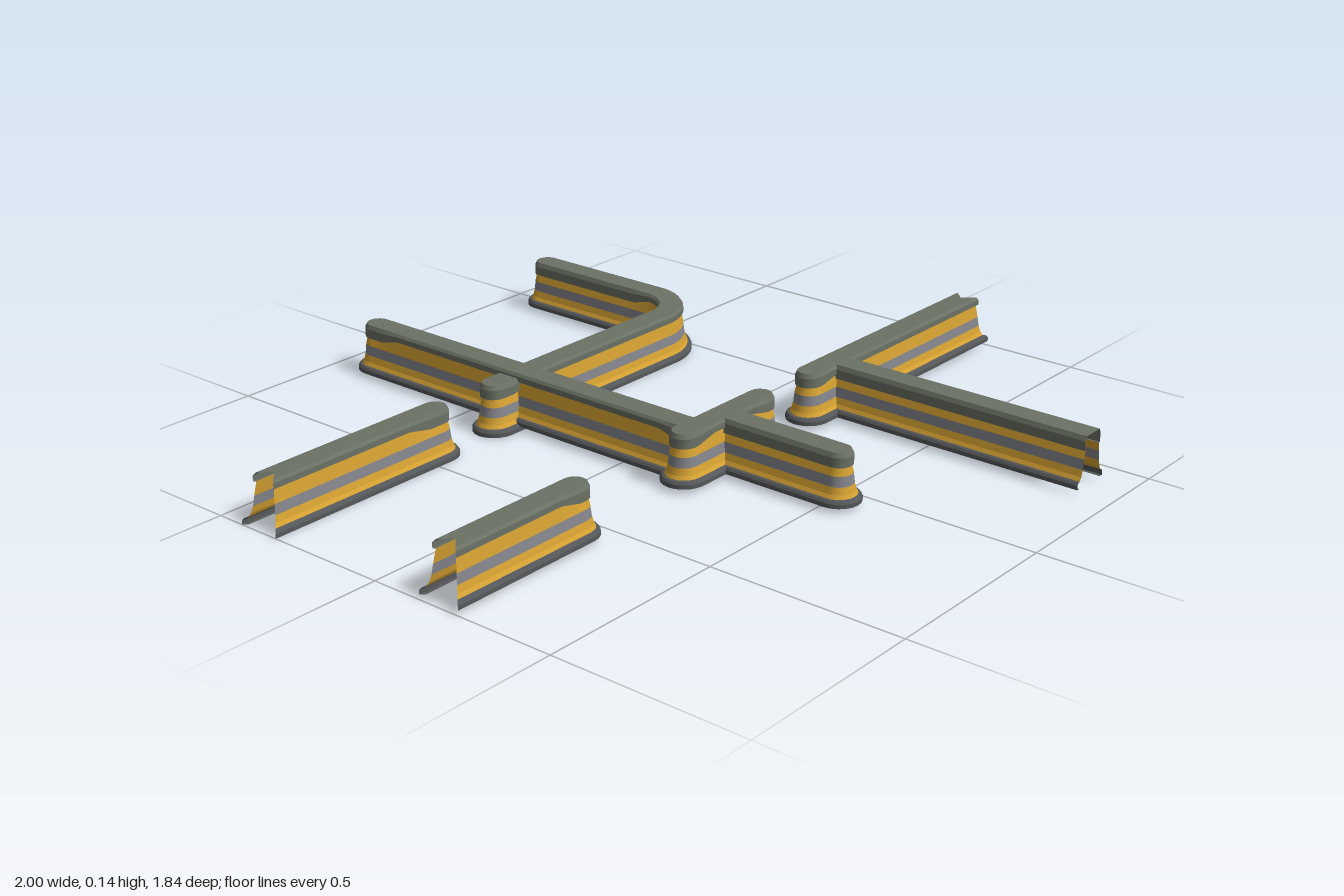
import * as THREE from 'three';
import { mergeGeometries } from 'three/addons/utils/BufferGeometryUtils.js';

const R = 0.056; // half width of the base flange
const DROP = 0.014; // how far the cap skirt hangs lower near wall ends

// Colour bands of the half profile: [half width, height, skirt drop factor]
const BANDS = [
  ['baseFlange', 0x55585a, [[0.046, 0, 0], [R, 0, 0], [R, 0.01, 0], [0.052, 0.016, 0], [0.046, 0.018, 0]]],
  ['lowerStripe', 0xd6a232, [[0.046, 0.018, 0], [0.041, 0.027, 0], [0.037, 0.044, 0]]],
  ['middleStripe', 0x85868c, [[0.037, 0.044, 0], [0.034, 0.069, 0]]],
  ['upperStripe', 0xd6a232, [[0.034, 0.069, 0], [0.029, 0.104, 1]]],
  ['topCap', 0x6b7265, [[0.029, 0.104, 1], [0.034, 0.104, 1], [0.034, 0.118, 0.3], [0.029, 0.125, 0], [0, 0.125, 0]]],
];

// Outline stations around a path: centre, outward direction and skirt drop.
// Path points are [x, z, drop, y]; an end is round, mitre or flat.
function outline(path, startEnd, finishEnd) {
  const last = path.length - 1;
  const frames = path.map(([x, z, drop, y], i) => {
    const a = path[Math.max(i - 1, 0)], b = path[Math.min(i + 1, last)];
    const ua = new THREE.Vector2(x - a[0], z - a[1]).normalize();
    const ub = new THREE.Vector2(b[0] - x, b[1] - z).normalize();
    const t = ua.add(ub).normalize();
    return { x, y, z, drop, tx: t.x, tz: t.y };
  });
  const stations = [];
  const add = (f, side, along) => stations.push({
    x: f.x, y: f.y, z: f.z, drop: f.drop,
    dx: -f.tz * side + f.tx * along, dz: f.tx * side + f.tz * along,
  });
  const addEnd = (f, kind, sign) => {
    if (kind === 'round') {
      for (let k = 1; k < 10; k++) {
        const a = k * Math.PI / 10;
        add(f, sign * Math.cos(a), sign * Math.sin(a));
      }
    }
  };
  const along = (i) => (i === 0 && startEnd === 'mitre' ? -1 : i === last && finishEnd === 'mitre' ? 1 : 0);
  frames.forEach((f, i) => add(f, 1, along(i)));
  addEnd(frames[last], finishEnd, 1);
  const split = finishEnd === 'round' ? -1 : stations.length - 1; // gap at an open end
  for (let i = last; i >= 0; i--) add(frames[i], -1, along(i));
  addEnd(frames[0], startEnd, -1);
  if (startEnd === 'round') stations.push(stations[0]);
  return { stations, split };
}

// One profile segment swept round the outline
function strip({ stations, split }, low, high) {
  const pos = [], index = [];
  for (const s of stations) {
    for (const [w, h, k] of [low, high]) pos.push(s.x + s.dx * w, s.y + h - k * s.drop * DROP, s.z + s.dz * w);
  }
  for (let i = 0; i < stations.length - 1; i++) {
    if (i === split) continue;
    const a = i * 2, b = a + 2;
    index.push(a, b, b + 1, a, b + 1, a + 1);
  }
  const g = new THREE.BufferGeometry();
  g.setAttribute('position', new THREE.Float32BufferAttribute(pos, 3));
  g.setIndex(index);
  g.computeVertexNormals();
  return g;
}

function wall(name, y, path, startEnd, finishEnd) {
  const group = new THREE.Group();
  group.name = name;
  const line = outline(path.map(([x, z, d, py = y]) => [x, z, d, py]), startEnd, finishEnd);
  for (const [band, color, profile] of BANDS) {
    const strips = profile.slice(1).map((p, i) => strip(line, profile[i], p));
    const mesh = new THREE.Mesh(mergeGeometries(strips),
      new THREE.MeshStandardMaterial({ color, side: THREE.DoubleSide }));
    mesh.name = band;
    group.add(mesh);
  }
  return group;
}

export function createModel() {
  const model = new THREE.Group();
  model.name = 'wallLayout';
  const up = 0.012, back = -0.37, front = 0.19;

  // Curved wall: straight run, quarter bend, then a leg to the back
  const bend = [[-0.255, back, 1], [-0.22, back, 1], [-0.16, back, 0], [0.2, back, 0]];
  for (let k = 0; k <= 10; k++) {
    const a = k * Math.PI / 20;
    bend.push([0.38 + 0.09 * Math.sin(a), -0.46 + 0.09 * Math.cos(a), 0, up * k / 10]);
  }
  bend.push([0.47, -0.52, 1, up], [0.47, -0.864, 1, up]);

  model.add(
    wall('backRightWall', 0, [[-1 + R, back, 0], [-0.57, back, 0], [-0.5, back, 1], [-0.455, back, 1]], 'mitre', 'round'),
    wall('frontRightWall', up, [[-1 + R, front, 0], [-0.66, front, 0], [-0.6, front, 1], [-0.583, front, 1]], 'mitre', 'round'),
    wall('longCrossWall', up, [[-0.17, -0.864, 1], [-0.17, -0.82, 1], [-0.17, -0.76, 0],
      [-0.17, 0.11, 0], [-0.17, 0.16, 1], [-0.17, front, 1]], 'round', 'flat'),
    wall('curvedWall', 0, bend, 'round', 'round'),
    wall('shortCrossWall', up, [[-0.211, front, 1], [-0.2, front, 1], [-0.14, front, 0],
      [0, front, 0], [0.06, front, 1], [0.074, front, 1]], 'round', 'round'),
    wall('shortFrontWall', up, [[-0.07, front, 1], [-0.07, 0.524, 1]], 'flat', 'round'),
    wall('frontLeftWall', up, [[0.268, front, 1], [0.28, front, 1], [0.35, front, 0], [1 - R, front, 0]], 'round', 'mitre'),
    wall('frontBranchWall', up, [[0.37, front, 1], [0.37, 0.917, 1]], 'flat', 'flat'),
  );
  return model;
}
